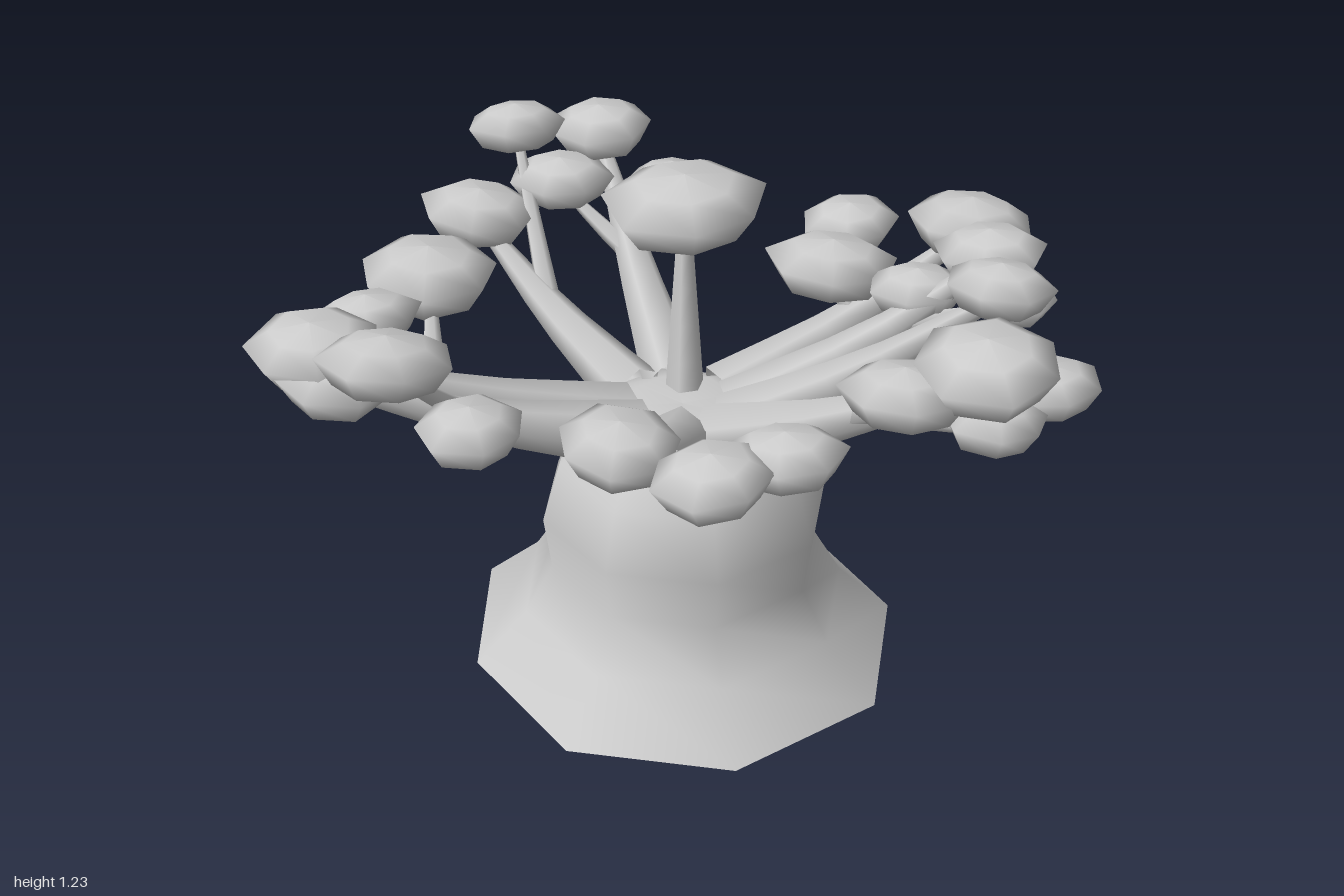
import * as THREE from 'three';

const material = new THREE.MeshStandardMaterial({ color: 0xcccccc, side: THREE.DoubleSide });

function add(parent, geometry, name) {
  const mesh = new THREE.Mesh(geometry, material);
  mesh.name = name;
  parent.add(mesh);
  return mesh;
}

// Tube along a curve, narrowing from r0 to r1
function taperedTube(curve, r0, r1, steps = 5, sides = 6) {
  const geo = new THREE.TubeGeometry(curve, steps, 1, sides, false);
  const pos = geo.attributes.position;
  const p = new THREE.Vector3();
  for (let i = 0; i < pos.count; i++) {
    const t = Math.floor(i / (sides + 1)) / steps;
    const c = curve.getPointAt(t);
    p.fromBufferAttribute(pos, i).sub(c).multiplyScalar(r0 + (r1 - r0) * t).add(c);
    pos.setXYZ(i, p.x, p.y, p.z);
  }
  return geo;
}

// Swollen eight-sided trunk with a flared, open foot, fuller at the back corners
function trunkGeometry() {
  const profile = [[0.57, 0], [0.43, 0.14], [0.355, 0.27], [0.375, 0.41], [0.33, 0.56], [0.235, 0.67], [0.13, 0.71], [0, 0.7]]
    .map(([r, y]) => new THREE.Vector2(r, y));
  const geo = new THREE.LatheGeometry(profile, 8);
  const pos = geo.attributes.position;
  for (let i = 0; i < pos.count; i++) {
    const x = pos.getX(i), y = pos.getY(i), z = pos.getZ(i);
    const backCorner = z < -0.01 && Math.abs(x) > 0.01 && y < 0.6;
    const kx = backCorner ? (x > 0 ? 1.11 : 1.15 - 0.2 * y) : 1;
    const kz = backCorner ? (x > 0 ? 1.1 : 1.03 - 0.05 * y) : 1;
    pos.setXYZ(i, x * kx * (x > 0 ? 0.995 : 0.945) + 0.025, y, z * kz * 0.985 + 0.01);
  }
  return geo;
}

// Flat, slightly irregular seven-sided leaf cushion
function leafCushion(r, seed) {
  const h = 0.022 + 0.28 * r;
  const profile = [[0, -1], [0.74, -0.9], [1, 0.1], [0.6, 0.68], [0, 0.95]]
    .map(([x, y]) => new THREE.Vector2(x * r, y * h));
  const geo = new THREE.LatheGeometry(profile, 7, seed * 1.7);
  const pos = geo.attributes.position;
  for (let i = 0; i < pos.count; i++) {
    const x = pos.getX(i), z = pos.getZ(i);
    const k = 1.03 + 0.07 * Math.sin(2 * Math.atan2(z, x) + seed * 2.3);
    pos.setXYZ(i, x * k, pos.getY(i), z * k);
  }
  return geo;
}

// Limbs: root [x, z], base radius, then cushions [x, y, z, radius]; the first ends the limb
const limbs = [
  { root: [0.05, -0.07], r: 0.05, tips: [[0.07, 1.16, -0.16, 0.195]] },
  { root: [0.14, -0.05], r: 0.08, tips: [[0.84, 0.99, -0.24, 0.165], [0.46, 0.935, -0.2, 0.158], [0.58, 0.93, -0.43, 0.128]] },
  { root: [0.15, 0.03], r: 0.08, tips: [[0.77, 1.06, 0.07, 0.138], [0.62, 0.94, -0.01, 0.115], [0.83, 0.95, 0.1, 0.108]] },
  { root: [0.13, 0.09], r: 0.08, tips: [[0.64, 1.17, 0.45, 0.12], [0.76, 0.925, 0.49, 0.12]] },
  { root: [0.08, 0.14], r: 0.085, tips: [[0.52, 1.12, 0.7, 0.163], [0.35, 1.06, 0.67, 0.135], [0.57, 0.95, 0.65, 0.115]] },
  { root: [-0.02, 0.15], r: 0.09, tips: [[-0.25, 0.96, 0.58, 0.137], [0.06, 1.01, 0.78, 0.122], [-0.11, 1.01, 0.83, 0.13]] },
  { root: [-0.1, 0.09], r: 0.085, tips: [[-0.81, 0.96, 0.15, 0.14], [-0.71, 1.09, 0.34, 0.142], [-0.54, 0.91, 0.36, 0.125]] },
  { root: [-0.12, 0], r: 0.085, tips: [[-0.85, 1.0, 0.07, 0.155], [-0.71, 0.97, -0.11, 0.12], [-0.54, 0.97, -0.31, 0.175]] },
  { root: [-0.07, -0.11], r: 0.08, tips: [[-0.36, 0.95, -0.68, 0.15], [-0.23, 1.12, -0.83, 0.125]] },
  { root: [0.04, -0.14], r: 0.08, tips: [[0, 1.09, -0.84, 0.14], [-0.13, 1.0, -0.73, 0.13], [0.15, 1.0, -0.64, 0.118]] },
];

export function createModel() {
  const tree = new THREE.Group();
  tree.name = 'tree';
  add(tree, trunkGeometry(), 'trunk');

  let seed = 0;
  limbs.forEach(({ root, r, tips }, n) => {
    const limb = new THREE.Group();
    limb.name = `limb${n + 1}`;
    tree.add(limb);

    // Main branch: spreads out low, then lifts to its cushion
    const [x, y, z] = tips[0];
    const start = new THREE.Vector3(root[0], 0.675, root[1]);
    const end = new THREE.Vector3(x, y - 0.03, z);
    const middle = start.clone().lerp(end, 0.5);
    middle.y -= 0.025;
    const path = new THREE.CatmullRomCurve3([start, middle, end]);
    add(limb, taperedTube(path, r, 0.016), 'branch');

    tips.forEach(([cx, cy, cz, cr], i) => {
      // Side twigs leave the branch part way along
      if (i > 0) {
        const from = path.getPointAt(0.42 + 0.1 * i);
        const to = new THREE.Vector3(cx, cy - 0.02, cz);
        const bend = from.clone().lerp(to, 0.55);
        bend.y -= 0.01;
        add(limb, taperedTube(new THREE.CatmullRomCurve3([from, bend, to]), 0.032, 0.012, 3, 5), 'twig');
      }
      const cushion = add(limb, leafCushion(cr, ++seed), 'leafCushion');
      cushion.position.set(cx, cy, cz);
      cushion.rotation.set(0.08 * Math.sin(seed * 2.1), 0, 0.08 * Math.cos(seed * 1.3));
    });
  });
  return tree;
}
